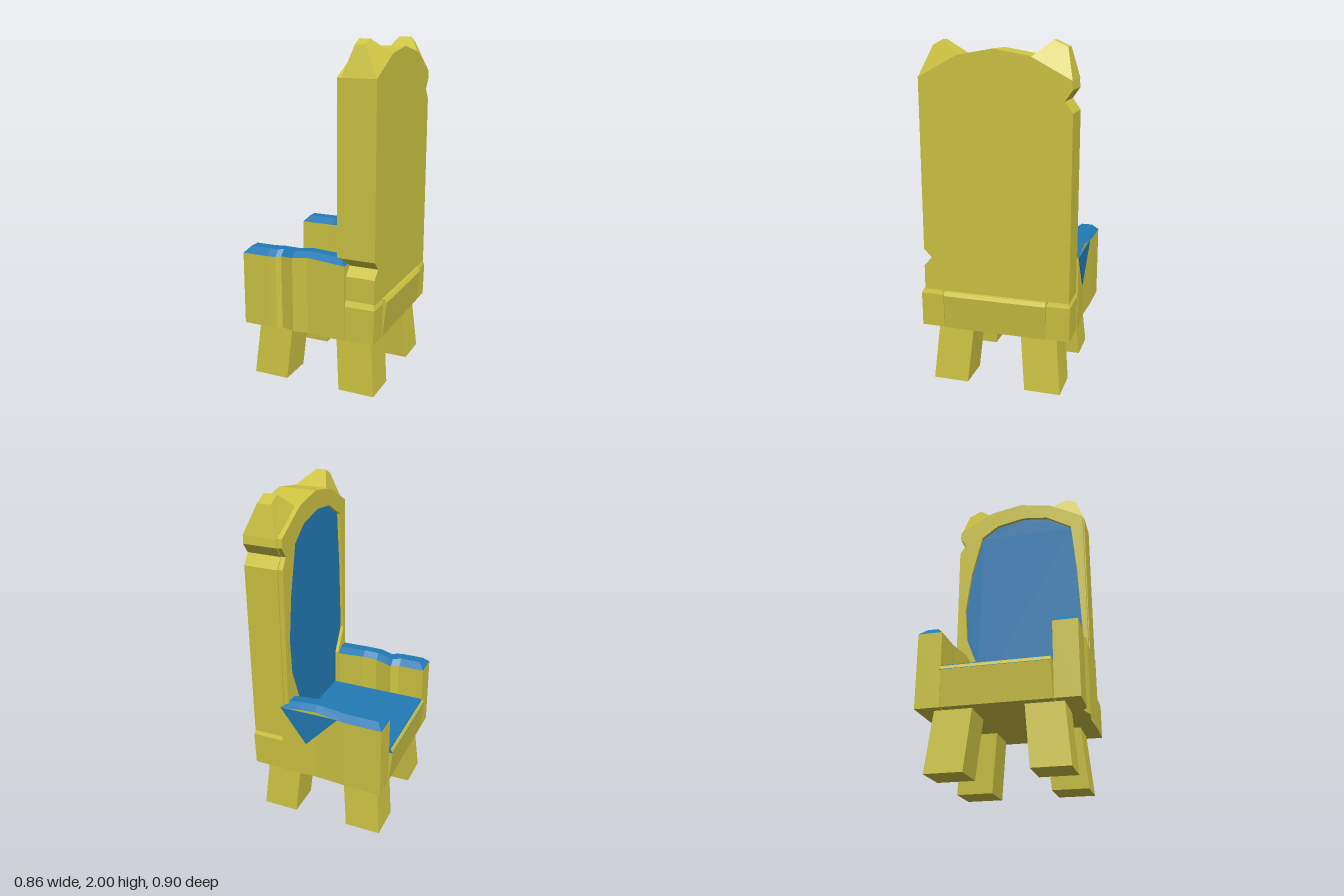
import * as THREE from 'three';

const wood = new THREE.MeshStandardMaterial({ color: 0xcfc543 });
wood.name = 'yellow frame';
const fabric = new THREE.MeshStandardMaterial({ color: 0x217ab5 });
fabric.name = 'blue fabric';
for (const m of [wood, fabric]) m.flatShading = true;

// Flat-shaded solid through matching rings (counter-clockwise seen from the last ring's end)
function loft(rings) {
  const p = [];
  const n = rings[0].length;
  const tri = (...v) => v.forEach((q) => p.push(...q));
  for (let i = 0; i < rings.length - 1; i++) {
    for (let j = 0; j < n; j++) {
      const k = (j + 1) % n;
      tri(rings[i][j], rings[i][k], rings[i + 1][k]);
      tri(rings[i][j], rings[i + 1][k], rings[i + 1][j]);
    }
  }
  const first = rings[0], last = rings[rings.length - 1];
  for (let j = 1; j < n - 1; j++) {
    tri(first[0], first[j + 1], first[j]);
    tri(last[0], last[j], last[j + 1]);
  }
  const g = new THREE.BufferGeometry();
  g.setAttribute('position', new THREE.Float32BufferAttribute(p, 3));
  g.computeVertexNormals();
  return g;
}

// Horizontal rectangle ring; yi and yo are the heights at z0 and z1
const rect = (x0, x1, z0, z1, y0, y1 = y0) =>
  [[x0, y1, z1], [x1, y1, z1], [x1, y0, z0], [x0, y0, z0]];

// Extrude a (z, y) outline from x0 to x1
function slab(points, x0, x1, hole) {
  const path = (pts) => pts.map(([z, y]) => new THREE.Vector2(-z, y));
  const shape = new THREE.Shape(path(points));
  if (hole) shape.holes.push(new THREE.Path(path(hole)));
  const g = new THREE.ExtrudeGeometry(shape, { depth: x1 - x0, bevelEnabled: false });
  return g.rotateY(Math.PI / 2).translate(x0, 0, 0);
}

export function createModel() {
  const model = new THREE.Group();
  model.name = 'throne';
  const add = (name, geometry, material) => {
    const mesh = new THREE.Mesh(geometry, material);
    mesh.name = name;
    model.add(mesh);
  };

  // Splayed legs
  for (const sx of [-1, 1]) for (const sz of [-1, 1]) {
    const span = (s, a, b) => (s > 0 ? [a, b] : [-b, -a]);
    add('leg', loft([
      rect(...span(sx, 0.17, 0.388), ...span(sz, 0.175, 0.388), 0),
      rect(...span(sx, 0.14, 0.355), ...span(sz, 0.142, 0.355), 0.36),
    ]), wood);
  }

  // Seat block and cushion
  add('seatBase', loft([
    rect(-0.41, 0.405, -0.305, 0.305, 0.345),
    rect(-0.432, 0.428, -0.305, 0.3, 0.55),
    rect(-0.425, 0.415, -0.305, 0.3, 0.572),
  ]), wood);
  add('seatCushion', loft([
    rect(-0.433, 0.2, -0.308, 0.3, 0.55),
    rect(-0.41, 0.2, -0.305, 0.292, 0.582),
  ]), fabric);

  // Rear corner blocks
  for (const [z0, z1] of [[-0.442, -0.305], [0.31, 0.445]]) {
    add('cornerBlock', loft([
      rect(0.19, 0.405, z0, z1, 0.348),
      rect(0.19, 0.41, z0, z1, 0.55),
      rect(0.19, 0.4, z0 + 0.015, z1 - 0.015, 0.58),
    ]), wood);
  }

  // Arms: stations of x, pad bottom, pad top, smallest z, largest z
  const arms = {
    left: [
      [-0.41, 0.78, 0.817, 0.31, 0.45], [-0.25, 0.78, 0.817, 0.31, 0.45],
      [-0.2, 0.78, 0.815, 0.287, 0.445], [-0.175, 0.782, 0.816, 0.295, 0.422],
      [-0.09, 0.79, 0.822, 0.315, 0.45], [0, 0.8, 0.83, 0.305, 0.437],
      [0.233, 0.785, 0.82, 0.31, 0.45],
    ],
    right: [
      [-0.41, 0.78, 0.817, -0.45, -0.31], [-0.19, 0.78, 0.817, -0.448, -0.31],
      [0, 0.8, 0.83, -0.437, -0.302], [0.1, 0.795, 0.826, -0.442, -0.308],
      [0.215, 0.785, 0.82, -0.446, -0.31],
    ],
  };
  for (const [side, stations] of Object.entries(arms)) {
    add(side + 'Arm', loft(stations.map(([x, y, , a, b]) =>
      [[x, 0.345, b], [x, 0.345, a], [x, y, a], [x, y, b]])), wood);
    const end = stations.length - 1;
    add(side + 'ArmPad', loft(stations.map(([x, y, t, a, b], i) => {
      const xt = i === 0 ? x + 0.035 : i === end ? x - 0.04 : x;
      return [[x, y, b], [x, y, a], [xt, t, a + 0.037], [xt, t, b - 0.037]];
    })), fabric);
  }

  // Fabric triangle hanging over the outside of one arm
  const flap = [[0.215, 0.786, -0.449], [-0.14, 0.786, -0.447], [0.06, 0.57, -0.445]];
  add('fabricFlap', loft([flap, flap.map(([x, y, z]) => [x, y, z + 0.005])]), fabric);

  // Backrest with a chip out of each side
  const arch = [[0.2, 1.92], [0, 1.955], [-0.2, 1.92]];
  add('backrest', slab([
    [0.425, 0.575], [0.425, 0.72], [0.378, 0.77], [0.425, 0.82], [0.428, 1.8],
    ...arch,
    [-0.425, 1.8], [-0.432, 1.75], [-0.39, 1.69], [-0.435, 1.63], [-0.435, 0.575],
  ], 0.203, 0.403), wood);

  // Raised rim around the fabric panel
  const panel = [
    [0.3, 0.575], [0.3, 0.8], [0.39, 0.95], [0.37, 1.4], [0.34, 1.73], [0.18, 1.825],
    [0.02, 1.845], [-0.16, 1.81], [-0.27, 1.73], [-0.34, 1.45], [-0.375, 1.19],
    [-0.36, 0.98], [-0.29, 0.8], [-0.29, 0.575],
  ];
  add('backrestRim', slab([
    ...panel.slice().reverse(),
    [0.42, 0.575], [0.42, 0.72], [0.378, 0.77], [0.42, 0.82], [0.42, 1.8],
    ...arch,
    [-0.42, 1.8], [-0.425, 1.75], [-0.385, 1.69], [-0.425, 1.63], [-0.425, 0.575],
  ], 0.176, 0.204), wood);
  add('backrestPanel', slab(panel, 0.196, 0.204), fabric);

  // Horns on the top corners
  add('leftHorn', loft([
    rect(0.203, 0.403, 0.2, 0.428, 1.918, 1.798),
    rect(0.255, 0.315, 0.31, 0.37, 1.998, 1.968),
  ]), wood);
  add('rightHorn', loft([
    rect(0.203, 0.403, -0.43, -0.21, 1.798, 1.916),
    rect(0.25, 0.33, -0.388, -0.31, 1.965, 2),
  ]), wood);

  return model;
}
